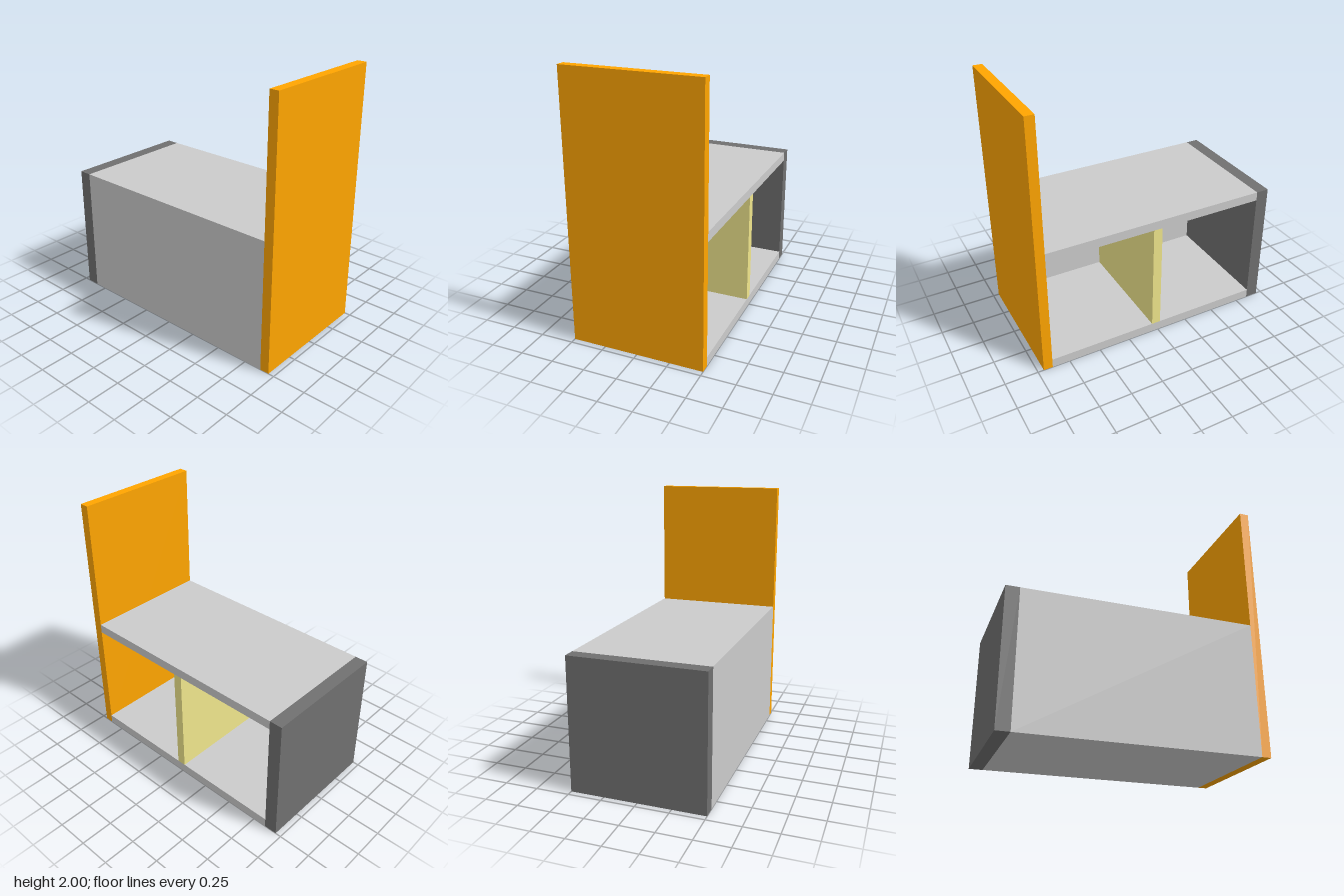
import * as THREE from 'three';

const WIDTH = 1, HEIGHT = 1, T = 0.07;   // body size and board thickness
const FRONT = 0.955, BACK = -0.955;      // outer ends along z
const BODY_FRONT = FRONT - T, BODY_BACK = -0.855;

function addMesh(group, name, geometry, color) {
  const mesh = new THREE.Mesh(geometry, new THREE.MeshStandardMaterial({ color }));
  mesh.name = name;
  group.add(mesh);
  return mesh;
}

// Box given by its lowest and highest corners
function addBoard(group, name, color, [x0, y0, z0], [x1, y1, z1]) {
  const mesh = addMesh(group, name, new THREE.BoxGeometry(x1 - x0, y1 - y0, z1 - z0), color);
  mesh.position.set((x0 + x1) / 2, (y0 + y1) / 2, (z0 + z1) / 2);
  return mesh;
}

export function createModel() {
  const model = new THREE.Group();
  model.name = 'benchCabinet';
  const h = WIDTH / 2;

  // Body: C-shaped section (bottom, closed right wall, top), open on the left side
  const section = new THREE.Shape([
    [-h, 0], [h, 0], [h, T], [-h + T, T],
    [-h + T, HEIGHT - T], [h, HEIGHT - T], [h, HEIGHT], [-h, HEIGHT],
  ].map(([x, y]) => new THREE.Vector2(x, y)));
  const body = addMesh(model, 'body', new THREE.ExtrudeGeometry(section, {
    depth: BODY_FRONT - BODY_BACK, bevelEnabled: false,
  }), 0xcccccc);
  body.position.z = BODY_BACK;

  // Tall front panel, thick end panel and inner divider
  addBoard(model, 'frontPanel', 0xffa500, [-h, 0, BODY_FRONT], [h, 2, FRONT]);
  addBoard(model, 'endPanel', 0x707070, [-h, 0, BACK], [h, HEIGHT, BODY_BACK]);
  addBoard(model, 'divider', 0xf0e68c, [-h + T, T, -0.02], [h, HEIGHT - T, 0.05]);

  return model;
}
